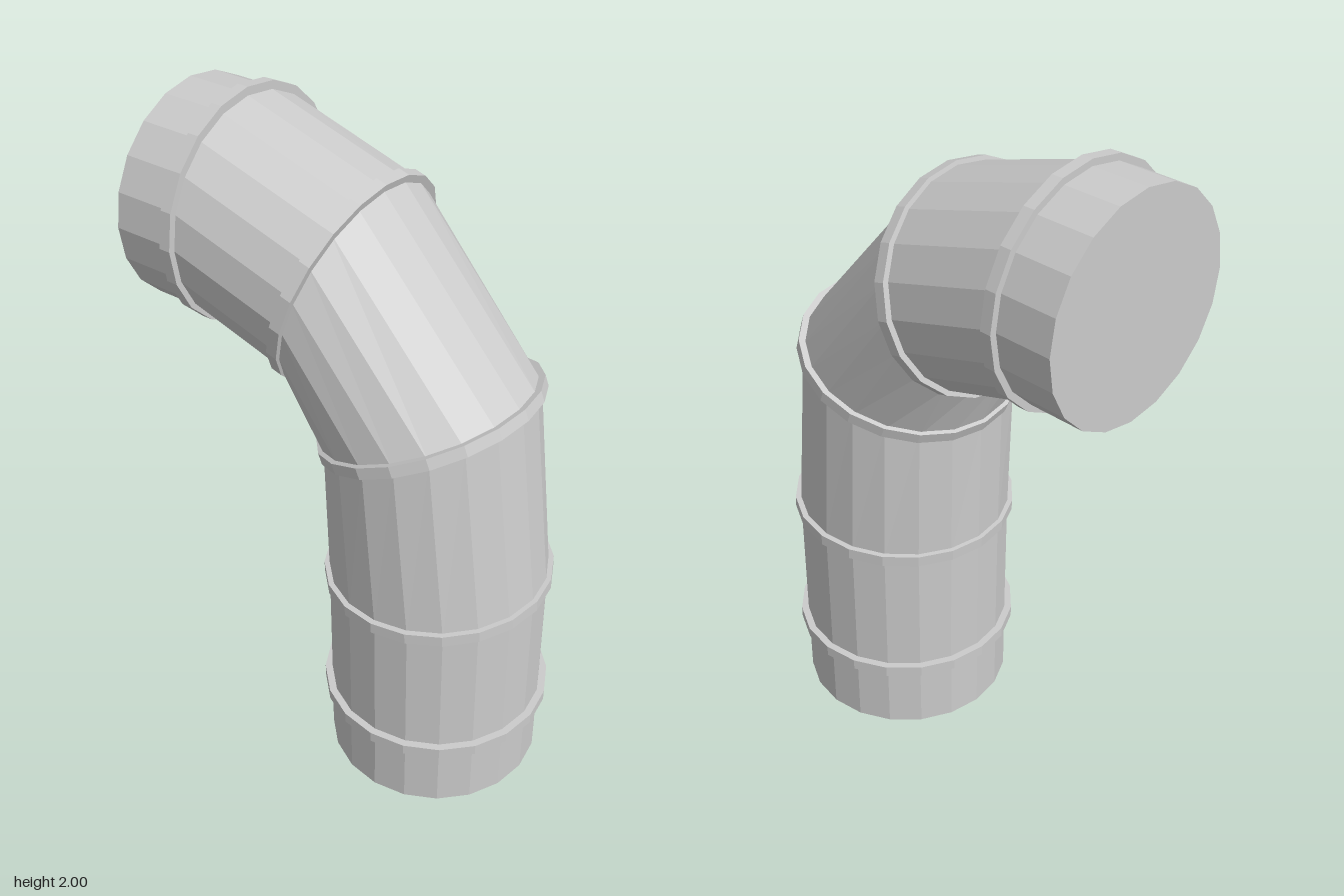
import * as THREE from 'three';

const SIDES = 20;
const HALF_WIDTH = 0.325;

// Mitre planes along the pipe: outer and inner edge of the bend as [z, y]
const STATIONS = [
  { outer: [0.583, 0], inner: [-0.066, 0] },
  { outer: [0.583, 0.228], inner: [-0.066, 0.228], band: 1.068 },
  { outer: [0.58, 0.686], inner: [-0.069, 0.66], band: 1.04 },
  { outer: [0.5, 1.317], inner: [-0.076, 1.088], band: 1.04 },
  { outer: [0.034, 1.842], inner: [-0.14, 1.247], band: 1.04 },
  { outer: [-0.417, 1.98], inner: [-0.417, 1.335], band: 1.06 },
  { outer: [-0.604, 1.98], inner: [-0.604, 1.335] },
];

// Ellipse of points in a station's plane, scaled and shifted along its normal
function ring({ outer, inner }, scaleA = 1, scaleX = 1, shift = 0) {
  const center = new THREE.Vector3(0, (outer[1] + inner[1]) / 2, (outer[0] + inner[0]) / 2);
  const a = new THREE.Vector3(0, outer[1], outer[0]).sub(center);
  const x = new THREE.Vector3(HALF_WIDTH, 0, 0);
  center.addScaledVector(a.clone().cross(x).normalize(), shift);
  return Array.from({ length: SIDES }, (_, i) => {
    const t = (i / SIDES) * Math.PI * 2;
    return center.clone()
      .addScaledVector(a, Math.cos(t) * scaleA)
      .addScaledVector(x, Math.sin(t) * scaleX);
  });
}

// Skin a list of rings, optionally closing the first or last one
function loft(rings, capStart = false, capEnd = false) {
  const position = [];
  const tri = (...points) => points.forEach((p) => position.push(p.x, p.y, p.z));
  for (let i = 0; i < rings.length - 1; i++) {
    for (let j = 0; j < SIDES; j++) {
      const k = (j + 1) % SIDES;
      const [p, q] = [rings[i], rings[i + 1]];
      tri(p[j], p[k], q[k]);
      tri(p[j], q[k], q[j]);
    }
  }
  const first = rings[0];
  const last = rings[rings.length - 1];
  for (let j = 1; j < SIDES - 1; j++) {
    if (capStart) tri(first[0], first[j + 1], first[j]);
    if (capEnd) tri(last[0], last[j], last[j + 1]);
  }
  const geometry = new THREE.BufferGeometry();
  geometry.setAttribute('position', new THREE.Float32BufferAttribute(position, 3));
  geometry.computeVertexNormals();
  return geometry;
}

export function createModel() {
  const group = new THREE.Group();
  group.name = 'bentPipe';
  const material = new THREE.MeshStandardMaterial({ color: 0xcccccc, flatShading: true });
  const add = (name, geometry) => {
    const mesh = new THREE.Mesh(geometry, material);
    mesh.name = name;
    group.add(mesh);
  };

  // Straight and mitred pipe segments, closed at both free ends
  const count = STATIONS.length - 1;
  for (let i = 0; i < count; i++) {
    const rings = [ring(STATIONS[i]), ring(STATIONS[i + 1])];
    add(`pipeSegment${i + 1}`, loft(rings, i === 0, i === count - 1));
  }

  // Raised bands covering the joints
  const half = 0.017;
  STATIONS.filter((s) => s.band).forEach((s, i) => {
    const wide = Math.max(s.band, 1.055);
    add(`jointBand${i + 1}`, loft([
      ring(s, 0.97, 0.97, -half),
      ring(s, s.band, wide, -half),
      ring(s, s.band, wide, half),
      ring(s, 0.97, 0.97, half),
    ]));
  });

  return group;
}
